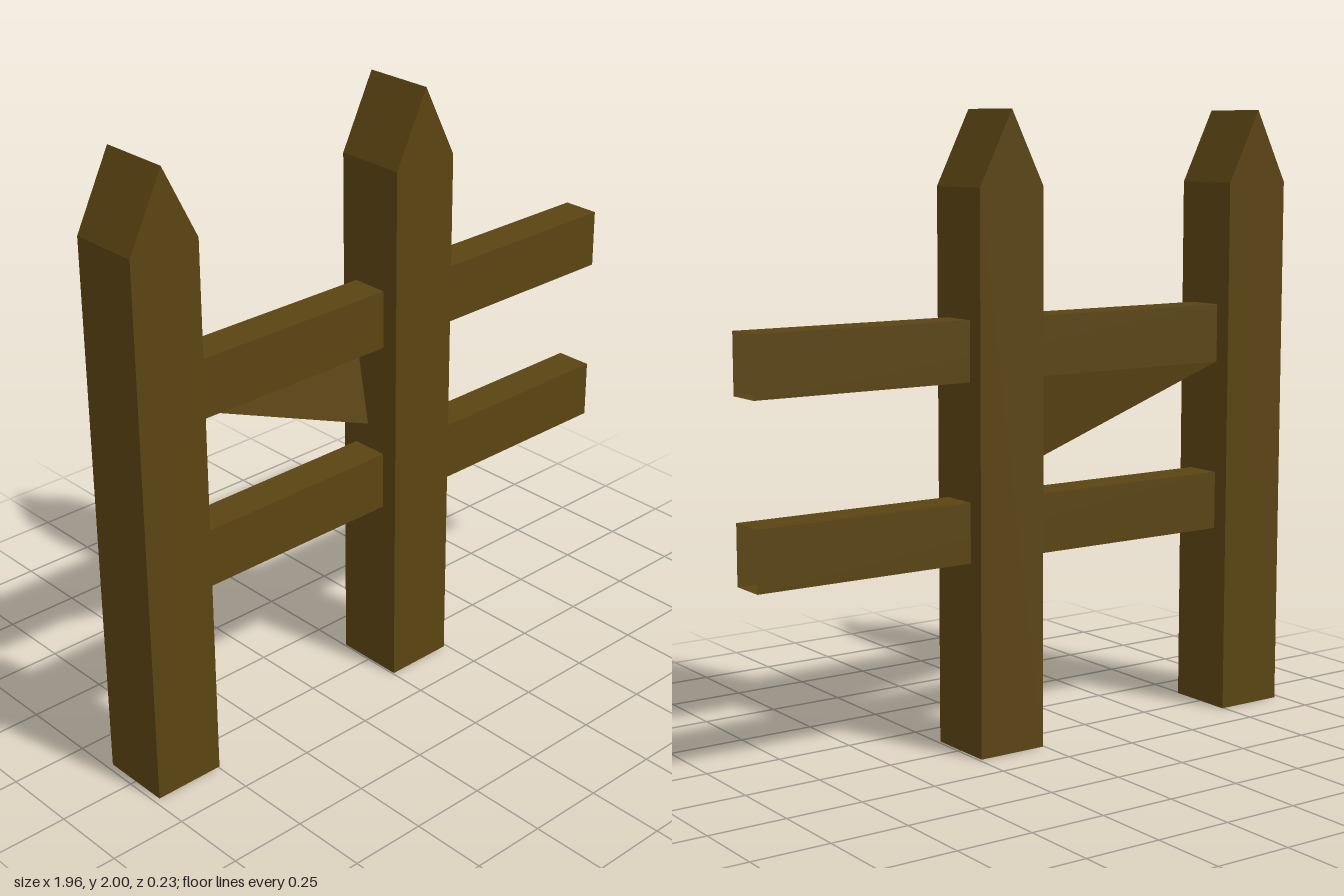
import * as THREE from 'three';

const POST_W = 0.235, RAIL_D = 0.123;

// Square post with a two-sided pointed top
function makePost(x, material) {
  const h = POST_W / 2;
  const outline = new THREE.Shape([[-h, 0], [h, 0], [h, 1.765], [0, 2], [-h, 1.765]]
    .map(([px, py]) => new THREE.Vector2(px, py)));
  const geometry = new THREE.ExtrudeGeometry(outline, { depth: POST_W, bevelEnabled: false });
  geometry.translate(x, 0, -h);
  return new THREE.Mesh(geometry, material);
}

// Hollow rail, open at its +x end
function makeRail(x0, x1, y0, y1, material) {
  const geometry = new THREE.BoxGeometry(x1 - x0, y1 - y0, RAIL_D);
  geometry.setIndex(Array.from(geometry.index.array).slice(6)); // drop the +x cap
  geometry.clearGroups();
  geometry.translate((x0 + x1) / 2, (y0 + y1) / 2, 0);
  return new THREE.Mesh(geometry, material);
}

export function createModel() {
  const group = new THREE.Group();
  const color = 0x5a4412;
  const wood = new THREE.MeshStandardMaterial({ color, flatShading: true });
  const thinWood = new THREE.MeshStandardMaterial({ color, flatShading: true, side: THREE.DoubleSide });
  const add = (name, mesh) => { mesh.name = name; group.add(mesh); };

  add('rightPost', makePost(-0.8625, wood));
  add('middlePost', makePost(0.1225, wood));
  add('upperRail', makeRail(-0.75, 0.98, 1.175, 1.365, thinWood));
  add('lowerRail', makeRail(-0.75, 0.98, 0.612, 0.803, thinWood));

  // Thin triangular brace hanging below the upper rail
  const brace = new THREE.BufferGeometry().setFromPoints([
    new THREE.Vector3(-0.745, 1.175, -RAIL_D / 2),
    new THREE.Vector3(0.006, 0.885, -0.008),
    new THREE.Vector3(0.006, 1.175, -RAIL_D / 2),
  ]);
  brace.computeVertexNormals();
  add('triangularBrace', new THREE.Mesh(brace, thinWood));

  return group;
}
